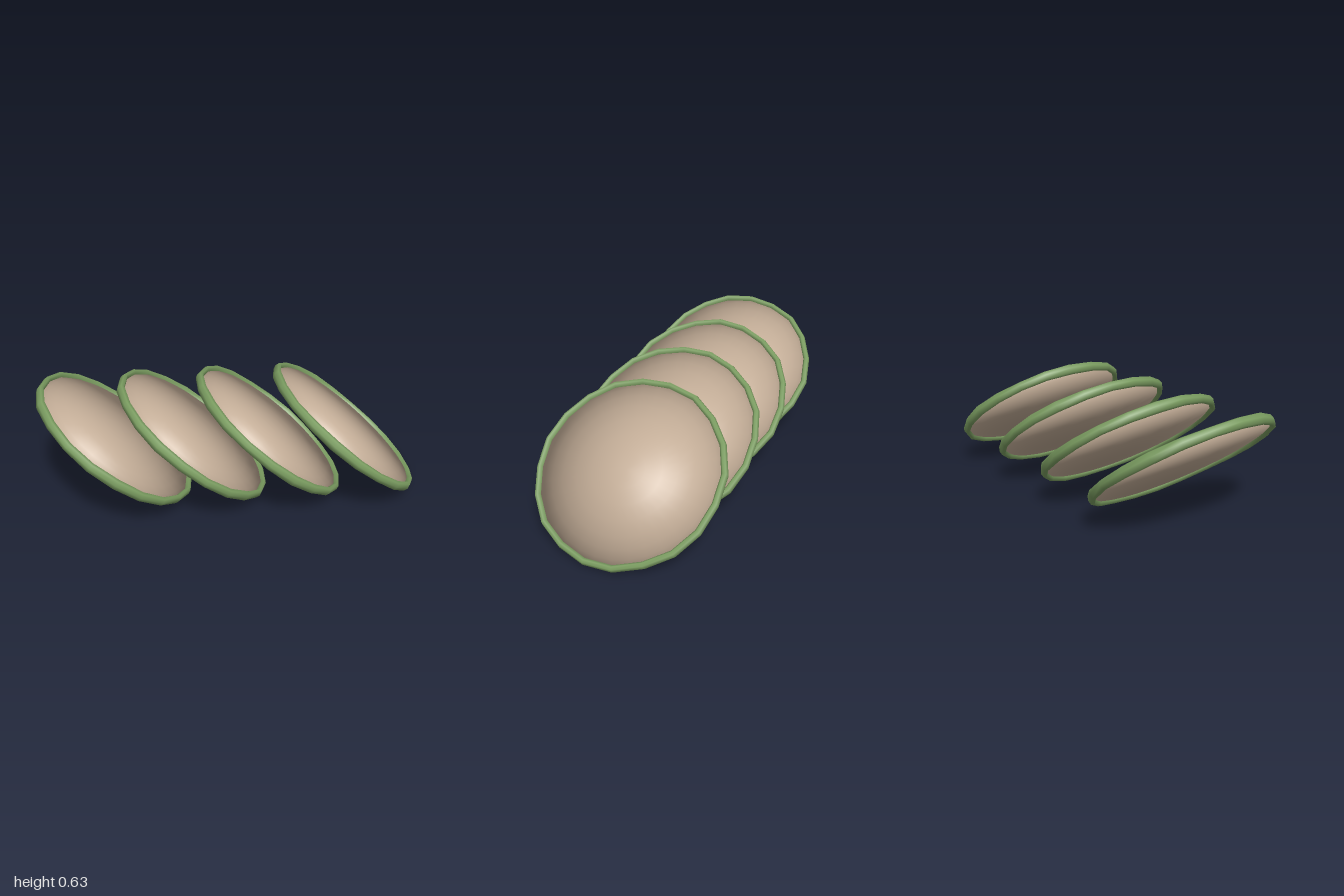
import * as THREE from 'three';

const TILT = THREE.MathUtils.degToRad(38.5);
const COUNT = 4;
const SPACING = 0.408;

// Soft flesh: a sphere pressed into a thin lens, keeping its round shading
function fleshGeometry() {
  const g = new THREE.SphereGeometry(0.468, 32, 16);
  const p = g.attributes.position;
  for (let i = 0; i < p.count; i++) p.setY(i, p.getY(i) * 0.068);
  return g;
}

// Peel: a low-sided ring, narrow outward and taller across, slightly uneven
function peelGeometry() {
  const g = new THREE.TorusGeometry(0.47, 0.028, 7, 20);
  g.rotateX(Math.PI / 2);
  const p = g.attributes.position;
  for (let i = 0; i < p.count; i++) {
    const x = p.getX(i), z = p.getZ(i);
    const r = Math.hypot(x, z), a = Math.atan2(z, x);
    const radius = 0.47 + (r - 0.47) * 0.6 + 0.003 * Math.sin(a * 7);
    p.setXYZ(i, x / r * radius, p.getY(i) * (1 + 0.08 * Math.sin(a * 5)), z / r * radius);
  }
  return g;
}

export function createModel() {
  const model = new THREE.Group();
  model.name = 'slices';
  const fleshMaterial = new THREE.MeshStandardMaterial({ color: 0xc4ae98 });
  const peelMaterial = new THREE.MeshStandardMaterial({ color: 0x7a9c60 });
  const flesh = fleshGeometry();
  const peel = peelGeometry();

  // A row of leaning slices, each turned a little so the rims differ
  for (let i = 0; i < COUNT; i++) {
    const slice = new THREE.Group();
    slice.name = `slice${i + 1}`;
    const fleshMesh = new THREE.Mesh(flesh, fleshMaterial);
    fleshMesh.name = 'flesh';
    const peelMesh = new THREE.Mesh(peel, peelMaterial);
    peelMesh.name = 'peel';
    peelMesh.rotation.y = i * 0.7;
    slice.add(fleshMesh, peelMesh);
    slice.rotation.z = -TILT;
    slice.position.set((i - (COUNT - 1) / 2) * SPACING, 0.318, 0);
    model.add(slice);
  }
  return model;
}
